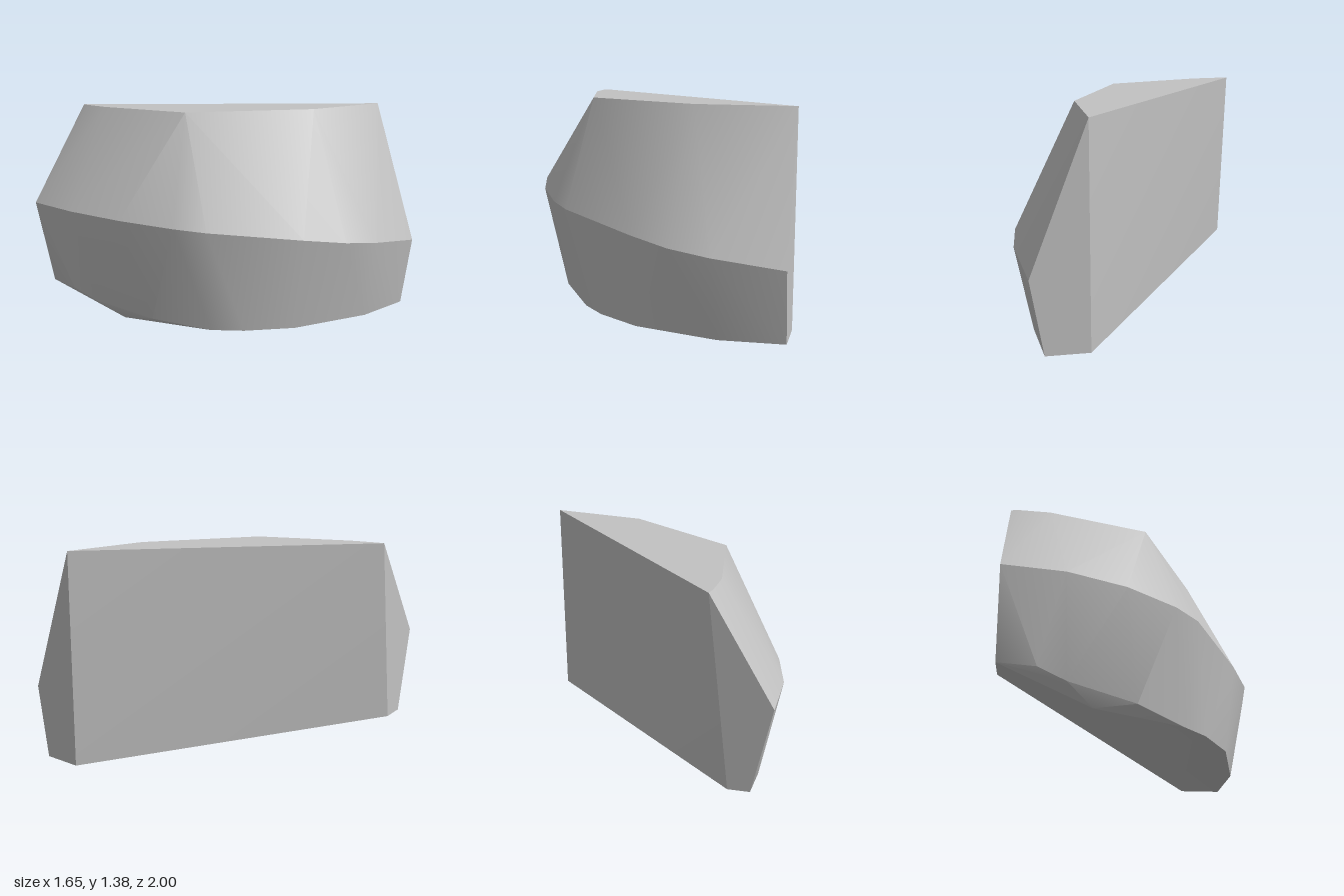
import * as THREE from 'three';
import { ConvexGeometry } from 'three/addons/geometries/ConvexGeometry.js';
import { toCreasedNormals } from 'three/addons/utils/BufferGeometryUtils.js';

const at = (x, y, z) => new THREE.Vector3(x, y, z);

export function createModel() {
  const group = new THREE.Group();
  group.name = 'cornerBlock';
  const grey = new THREE.MeshStandardMaterial({ color: 0xc2c2c2 });
  grey.name = 'plain grey';

  // flat top outline [x, z]; its ends close along the diagonal back
  const top = [[-0.83, 0.6], [-0.77, 0.605], [-0.58, 0.59], [0.05, 0.4], [0.42, -0.37], [0.42, -1]]
    .map(([x, z]) => at(x, 1.375, z));

  // widest outline, on a plane that drops towards the back
  const ridge = [[-0.83, 1], [-0.45, 0.95], [-0.09, 0.82], [0.22, 0.63], [0.37, 0.49],
    [0.68, -0.04], [0.8, -0.3], [0.825, -0.56], [0.77, -1]]
    .map(([x, z]) => at(x, 0.6025 + 0.1375 * z, z));

  // flat underside outline
  const base = [[-0.28, 0.67], [0.28, 0.39], [0.43, 0.235], [0.6, -0.05], [0.72, -0.59], [0.69, -1], [0.42, -1]]
    .map(([x, z]) => at(x, 0, z));

  // chamfered underside at the raised end
  const chamfer = [at(-0.83, 0.165, 0.74), at(-0.83, 0.18, 0.88), at(-0.6, 0.17, 0.86),
    at(-0.43, 0.11, 0.8), at(-0.02, 0.05, 0.63)];

  // one solid through all outlines, smooth around the bands and sharp at the ridge
  const geometry = toCreasedNormals(new ConvexGeometry([...top, ...ridge, ...base, ...chamfer]), 0.52);
  const body = new THREE.Mesh(geometry, grey);
  body.name = 'body';
  group.add(body);
  return group;
}
